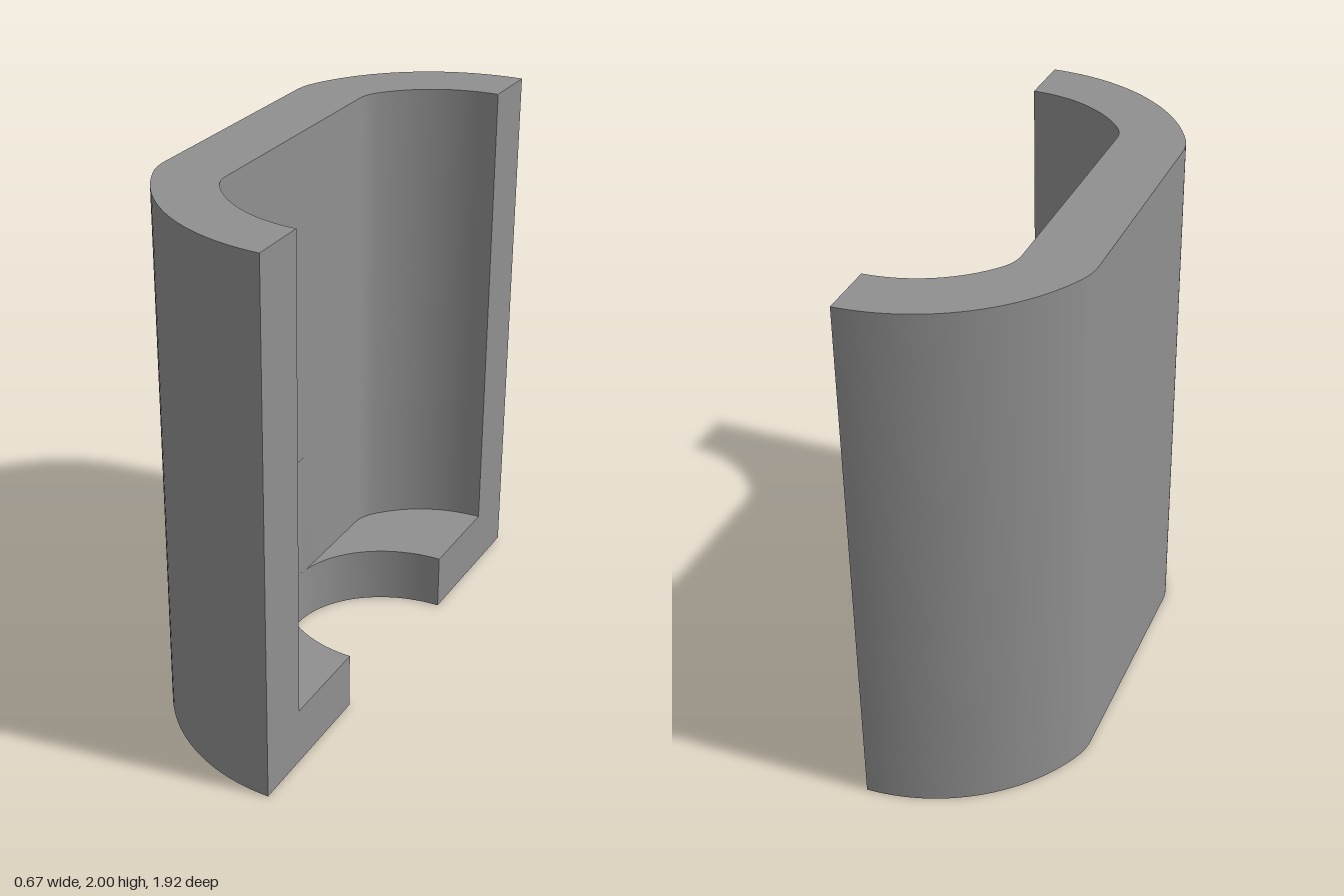
import * as THREE from 'three';
import { toCreasedNormals } from 'three/addons/utils/BufferGeometryUtils.js';

const CUT = 0.335; // x of the flat open face

// Half outline: a large arc from the open face, blended by a fillet into the flat wall.
function halfOutline(endZ, wallX, R, r) {
  const cz = endZ - R;
  const dx = CUT - (wallX + r);
  const dz = Math.sqrt((R - r) ** 2 - dx ** 2);
  const turn = Math.atan2(dz, -dx);
  const pts = [];
  const arc = (x, z, rad, a, b, n) => {
    for (let i = 0; i <= n; i++) {
      const t = a + (b - a) * i / n;
      pts.push(new THREE.Vector2(x + rad * Math.cos(t), z + rad * Math.sin(t)));
    }
  };
  arc(CUT, cz, R, Math.PI / 2, turn, 24);
  pts.pop();
  arc(wallX + r, cz + dz, r, turn, Math.PI, 10);
  return pts;
}

const mirrored = (half) => [...half, ...half.slice().reverse().map(p => new THREE.Vector2(p.x, -p.y))];

// Elliptical bore between two angles
function bore(a, b, n) {
  const pts = [];
  for (let i = 0; i <= n; i++) {
    const t = a + (b - a) * i / n;
    pts.push(new THREE.Vector2(CUT + 0.425 * Math.cos(t), 0.373 * Math.sin(t)));
  }
  return pts;
}

export function createModel() {
  const group = new THREE.Group();
  const grey = new THREE.MeshStandardMaterial({ color: 0x909090 });
  grey.name = 'grey';

  const outer = mirrored(halfOutline(0.962, -0.335, 0.71, 0.25));
  const innerHalf = halfOutline(0.744, -0.085, 0.49, 0.15);
  const inner = mirrored(innerHalf);

  const addSlab = (name, inside, y0, y1) => {
    const shape = new THREE.Shape([...outer, ...inside.slice().reverse()]);
    let geo = new THREE.ExtrudeGeometry(shape, { depth: y1 - y0, bevelEnabled: false });
    geo.rotateX(-Math.PI / 2);
    geo.translate(0, y0, 0);
    geo = toCreasedNormals(geo, Math.PI / 6);
    const mesh = new THREE.Mesh(geo, grey);
    mesh.name = name;
    group.add(mesh);
  };

  // Floor with the half bore through it
  addSlab('floor', bore(Math.PI / 2, Math.PI * 1.5, 48), 0, 0.216);

  // Lower wall, lightly scooped where the bore grazes it
  const graze = Math.acos(0.42 / 0.425);
  const scoop = bore(Math.PI - graze, Math.PI + graze, 8);
  const n = innerHalf.length;
  addSlab('lowerWall', [...inner.slice(0, n), ...scoop, ...inner.slice(n)], 0.216, 0.72);

  // Plain wall above the scoop
  addSlab('upperWall', inner, 0.72, 2);

  return group;
}
